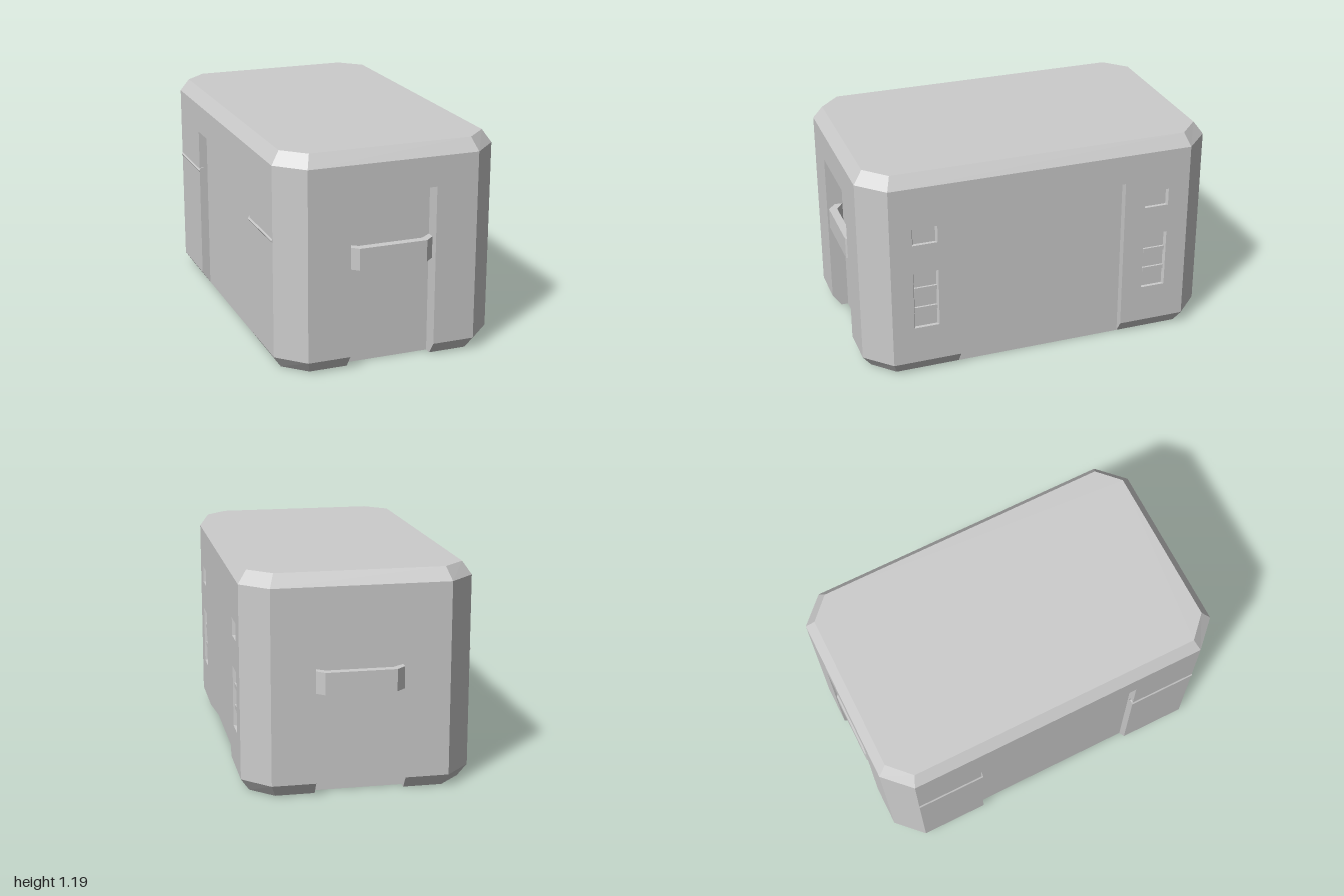
import * as THREE from 'three';
import { mergeGeometries } from 'three/addons/utils/BufferGeometryUtils.js';

const mat = new THREE.MeshStandardMaterial({ color: 0xcccccc, flatShading: true, side: THREE.DoubleSide });

function mesh(name, geometry) {
  const m = new THREE.Mesh(geometry, mat);
  m.name = name;
  return m;
}

// Flat convex polygon from corner points, counter-clockwise seen from outside
function poly(points, flip = false) {
  const p = flip ? [...points].reverse() : points;
  const pos = [];
  for (let i = 1; i < p.length - 1; i++) pos.push(...p[0], ...p[i], ...p[i + 1]);
  const g = new THREE.BufferGeometry();
  g.setAttribute('position', new THREE.Float32BufferAttribute(pos, 3));
  g.computeVertexNormals();
  return g;
}

function flatShape(points, holes = []) {
  const s = new THREE.Shape(points.map(([x, y]) => new THREE.Vector2(x, y)));
  for (const h of holes) s.holes.push(new THREE.Path(h.map(([x, y]) => new THREE.Vector2(x, y))));
  const g = new THREE.ShapeGeometry(s).toNonIndexed();
  g.deleteAttribute('uv');
  return g;
}

// Body dimensions: wide outline, and the smaller outline at the top and bottom
const H = 1.19, LOW = 0.07, HIGH = 1.12;
const OUT = { x: 0.617, z: 1, fx: 0.475, fz: 0.86 };
const IN = { x: 0.57, z: 0.95, fx: 0.45, fz: 0.835 };
const END = { r: 0.24, depth: 0.09 }, SIDE = { r: 0.478, depth: OUT.x - IN.x };
const TOP = 0.955;

const ring = (o, y) => [
  [o.fx, y, o.z], [o.x, y, o.fz], [o.x, y, -o.fz], [o.fx, y, -o.z],
  [-o.fx, y, -o.z], [-o.x, y, -o.fz], [-o.x, y, o.fz], [-o.fx, y, o.z],
];

// Roof, corner faces, bevels and underside
function shell() {
  const rings = [ring(IN, 0), ring(OUT, LOW), ring(OUT, HIGH), ring(IN, H)];
  const parts = [poly(rings[3])];
  for (let k = 0; k < 3; k++) {
    const [a, b] = [rings[k], rings[k + 1]];
    for (let i = 0; i < 8; i++) {
      if (k < 2 && i % 2) continue; // flat sides are built by wall()
      const j = (i + 1) % 8;
      parts.push(poly([a[i], a[j], b[j], b[i]]));
    }
  }
  const n = END.r, zf = OUT.z - END.depth;
  const half = [[-IN.x, -IN.fz], [-IN.fx, -IN.z], [-n, -IN.z], [-n, -zf],
    [n, -zf], [n, -IN.z], [IN.fx, -IN.z], [IN.x, -IN.fz]];
  const outline = [...half, ...half.map(([x, z]) => [-x, -z])];
  parts.push(flatShape(outline).rotateX(Math.PI / 2));
  return mesh('bodyShell', mergeGeometries(parts));
}

// One upright side with its doorway recess, built facing +z
function wall(w, w2, D, D2, { r, depth }, slots = []) {
  const F = D - depth;
  const holes = slots.map(([c, y0, y1]) => [[c - 0.07, y0], [c - 0.07, y1], [c + 0.07, y1], [c + 0.07, y0]]);
  const parts = [
    flatShape([[-w, LOW], [-r, LOW], [-r, TOP], [r, TOP], [r, LOW], [w, LOW], [w, HIGH], [-w, HIGH]], holes)
      .translate(0, 0, D),
    poly([[-r, 0, F], [r, 0, F], [r, TOP, F], [-r, TOP, F]]),
    poly([[-r, TOP, F], [r, TOP, F], [r, TOP, D], [-r, TOP, D]]),
  ];
  for (const s of [1, -1]) {
    // Bottom bevel and recess jamb
    parts.push(poly([[s * r, 0, D2], [s * w2, 0, D2], [s * w, LOW, D], [s * r, LOW, D]], s < 0));
    parts.push(poly([[s * r, TOP, F], [s * r, 0, F], [s * r, 0, D2], [s * r, LOW, D], [s * r, TOP, D]], s > 0));
  }
  return mesh('wall', mergeGeometries(parts));
}

// Shallow slot with slanted ends
function slot([c, y0, y1], D) {
  const rect = (h, z) => [[c - h, y0, z], [c + h, y0, z], [c + h, y1, z], [c - h, y1, z]];
  const a = rect(0.07, D), b = rect(0.062, D - 0.02);
  const parts = [poly(b)];
  for (let i = 0; i < 4; i++) {
    const j = (i + 1) % 4;
    parts.push(poly([a[i], a[j], b[j], b[i]]));
  }
  return mesh('slot', mergeGeometries(parts));
}

// Grab bar bridging the end recess, with ends bent inwards
function handle() {
  const s = new THREE.Shape([[-0.24, 0.91], [-0.18, 0.955], [0.18, 0.955], [0.24, 0.91],
    [0.24, 0.955], [0.19, 1], [-0.19, 1], [-0.24, 0.955]].map(([x, y]) => new THREE.Vector2(x, y)));
  const g = new THREE.ExtrudeGeometry(s, { depth: 0.12, bevelEnabled: false });
  return mesh('handle', g.rotateX(Math.PI / 2).translate(0, 0.668, 0));
}

export function createModel() {
  const model = new THREE.Group();
  model.name = 'container';
  model.add(shell());

  // Front and back ends
  for (const [name, turn] of [['frontEnd', 0], ['backEnd', Math.PI]]) {
    const end = new THREE.Group();
    end.name = name;
    end.add(wall(OUT.fx, IN.fx, OUT.z, IN.z, END), handle());
    end.rotation.y = turn;
    model.add(end);
  }

  // Left side with two columns of slots
  const slots = [-0.668, 0.668].flatMap((c) => [[c, 0.788, 0.885], [c, 0.285, 0.62]]);
  const left = new THREE.Group();
  left.name = 'leftSide';
  left.add(wall(OUT.fz, IN.fz, OUT.x, IN.x, SIDE, slots));
  for (const s of slots) left.add(slot(s, OUT.x));
  for (const c of [-0.668, 0.668]) {
    for (const y of [0.394, 0.514]) {
      const bar = mesh('slotDivider', new THREE.BoxGeometry(0.126, 0.024, 0.012));
      bar.position.set(c, y, OUT.x - 0.014);
      left.add(bar);
    }
  }
  left.rotation.y = Math.PI / 2;
  model.add(left);

  // Right side with a thin rail on each side of the recess
  const right = new THREE.Group();
  right.name = 'rightSide';
  right.add(wall(OUT.fz, IN.fz, OUT.x, IN.x, SIDE));
  for (const s of [-1, 1]) {
    const rail = mesh('rail', new THREE.CylinderGeometry(0.018, 0.018, 0.39, 6).rotateZ(Math.PI / 2));
    rail.position.set(s * 0.665, 0.717, OUT.x - 0.012);
    right.add(rail);
  }
  right.rotation.y = -Math.PI / 2;
  model.add(right);
  return model;
}
